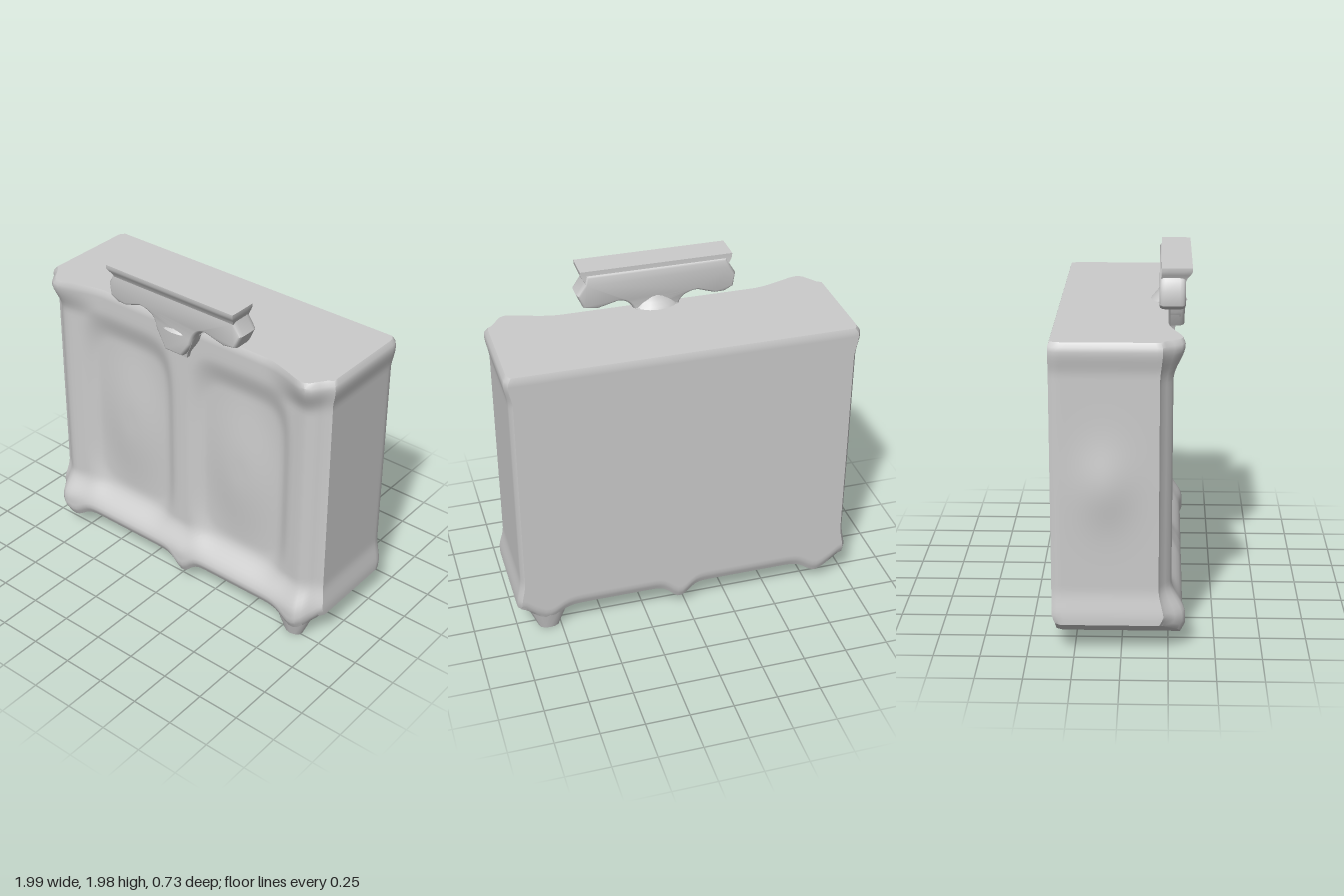
import * as THREE from 'three';
import { toCreasedNormals } from 'three/addons/utils/BufferGeometryUtils.js';

const material = new THREE.MeshStandardMaterial({ color: 0xcccccc, roughness: 0.9 });
const BACK = -0.368, TOP = 1.718, HALF = 0.965;
const smooth = THREE.MathUtils.smoothstep;
const bump = (d, w) => Math.exp(-(d * d) / (w * w));

function addMesh(parent, name, geometry, crease = 0.8) {
  const mesh = new THREE.Mesh(toCreasedNormals(geometry, crease), material);
  mesh.name = name;
  parent.add(mesh);
  return mesh;
}

function moveVertices(geometry, rule) {
  const p = geometry.attributes.position, v = new THREE.Vector3();
  for (let i = 0; i < p.count; i++) {
    rule(v.fromBufferAttribute(p, i));
    p.setXYZ(i, v.x, v.y, v.z);
  }
  return geometry;
}

// Front relief: two shallow panels with raised fields, corner posts and a plinth
function frontDepth(x, y) {
  const ax = Math.abs(x);
  const px = Math.abs(ax - 0.4) / 0.36;
  const py = Math.abs(y - 0.91) / 0.68;
  const r = Math.pow(px ** 5 + py ** 5, 0.2);
  let z = 0.25;
  z -= 0.04 * (1 - smooth(r, 0.72, 1));
  z += 0.025 * (1 - smooth(Math.hypot(px, py), 0.1, 0.8));
  z += 0.015 * bump(ax - 0.85, 0.08);
  z += 0.075 * (1 - smooth(y, 0.2, 0.38));
  z += 0.06 * smooth(y, 1.5, 1.69) * smooth(ax, 0.55, 0.85);
  z -= 0.055 * smooth(ax, 0.86, 0.965);
  z -= 0.045 * smooth(ax, 0.86, 0.965) * (smooth(y, 1.5, 1.69) + 1 - smooth(y, 0.2, 0.38));
  return z;
}

// Underside: shallow ceiling crossed by three front-to-back runners
function underside(x) {
  return 0.155 - 0.07 * bump(x - 0.81, 0.085) - 0.075 * bump(x + 0.8, 0.085)
    - 0.085 * bump(x - 0.04, 0.07) + 0.03 * smooth(Math.abs(x), 0.88, 0.97);
}

function cabinetGeometry() {
  const box = new THREE.BoxGeometry(2, 1, 1, 72, 64, 20);
  return moveVertices(box, (p) => {
    const u = p.x, v = p.y + 0.5, t = p.z + 0.5;
    const x0 = u * HALF;
    const y = THREE.MathUtils.lerp(underside(x0), TOP, v);
    const front = frontDepth(x0, y);
    // Sides flare at the cornice and plinth, and swell in the middle of one side
    let grow = 0.02 * smooth(y, 1.54, 1.67) + 0.025 * (1 - smooth(y, 0.2, 0.38));
    grow -= 0.02 * smooth(y, 1.685, TOP);
    grow += u < 0 ? 0.03 * bump(y - 0.95, 0.2) * bump(t - 0.5, 0.25) : 0.01;
    // Softened back corners and horizontal edges
    grow -= 0.02 * (1 - smooth(t, 0, 0.06));
    const edge = 0.012 * smooth(y, 1.69, TOP) + 0.025 * (1 - smooth(v, 0, 0.03));
    p.x = u * (HALF + grow);
    p.y = y;
    p.z = THREE.MathUtils.lerp(BACK + edge * 0.7, front - edge, t);
  });
}

// T-shaped crest outline, seen from the front
function crestShape() {
  const s = new THREE.Shape();
  s.moveTo(-0.035, 1.59);
  s.lineTo(0.065, 1.59);
  s.lineTo(0.12, 1.67);
  s.quadraticCurveTo(0.15, 1.79, 0.24, 1.79);
  s.lineTo(0.36, 1.76);
  s.lineTo(0.425, 1.77);
  s.lineTo(0.455, 1.835);
  s.lineTo(0.415, 1.895);
  s.lineTo(0.405, 1.94);
  s.lineTo(-0.375, 1.94);
  s.lineTo(-0.395, 1.9);
  s.lineTo(-0.425, 1.85);
  s.lineTo(-0.415, 1.785);
  s.lineTo(-0.37, 1.762);
  s.lineTo(-0.32, 1.762);
  s.lineTo(-0.22, 1.795);
  s.quadraticCurveTo(-0.1, 1.79, -0.09, 1.69);
  s.closePath();
  return s;
}

export function createModel() {
  const model = new THREE.Group();
  model.name = 'cabinet';

  addMesh(model, 'cabinetBody', cabinetGeometry());

  // Feet under the taller side, splayed into the plinth
  for (const [name, z] of [['frontFoot', 0.24], ['backFoot', -0.305]]) {
    const foot = addMesh(model, name, new THREE.CylinderGeometry(0.115, 0.055, 0.15, 12), 1);
    foot.position.set(0.82, 0.075, z);
    foot.scale.set(1.05, 1, z > 0 ? 0.75 : 0.55);
  }

  // Crest rising from the front edge
  const crest = new THREE.Group();
  crest.name = 'crest';
  model.add(crest);
  const bar = new THREE.ExtrudeGeometry(crestShape(), {
    depth: 0.08, bevelEnabled: true, bevelThickness: 0.03, bevelSize: 0.016,
    bevelSegments: 3, curveSegments: 8,
  });
  bar.translate(0, 0, 0.22);
  addMesh(crest, 'crestBar', bar);

  // Cap along the crest, sweeping forward toward its top
  const cap = moveVertices(new THREE.BoxGeometry(0.87, 0.08, 0.165, 10, 4, 4), (p) => {
    const f = smooth(p.y, -0.04, 0.025);
    p.x *= 0.94 + 0.06 * f;
    p.z = p.z * (0.8 + 0.2 * f) - 0.02 * (1 - f);
    p.x *= 1 - 0.12 * Math.max(0, Math.abs(p.z) - 0.06);
  });
  addMesh(crest, 'crestCap', cap).position.set(0.015, 1.938, 0.283);

  // Curved fillet joining the crest to the cabinet top
  const fillet = moveVertices(new THREE.CylinderGeometry(0.08, 0.14, 0.08, 16, 4), (p) => {
    p.z *= 0.6 + 0.15 * (1 - smooth(p.y, -0.04, 0.02));
  });
  addMesh(crest, 'crestFillet', fillet).position.set(0.02, 1.75, 0.24);

  // Bracket tapering down the front
  const bracket = moveVertices(new THREE.BoxGeometry(0.24, 0.18, 0.14, 4, 6, 4), (p) => {
    const f = smooth(p.y, -0.09, 0.06);
    p.x *= 0.4 + 0.6 * f;
    p.z -= 0.045 * (1 - f);
  });
  addMesh(crest, 'crestBracket', bracket).position.set(0.02, 1.63, 0.25);

  return model;
}
